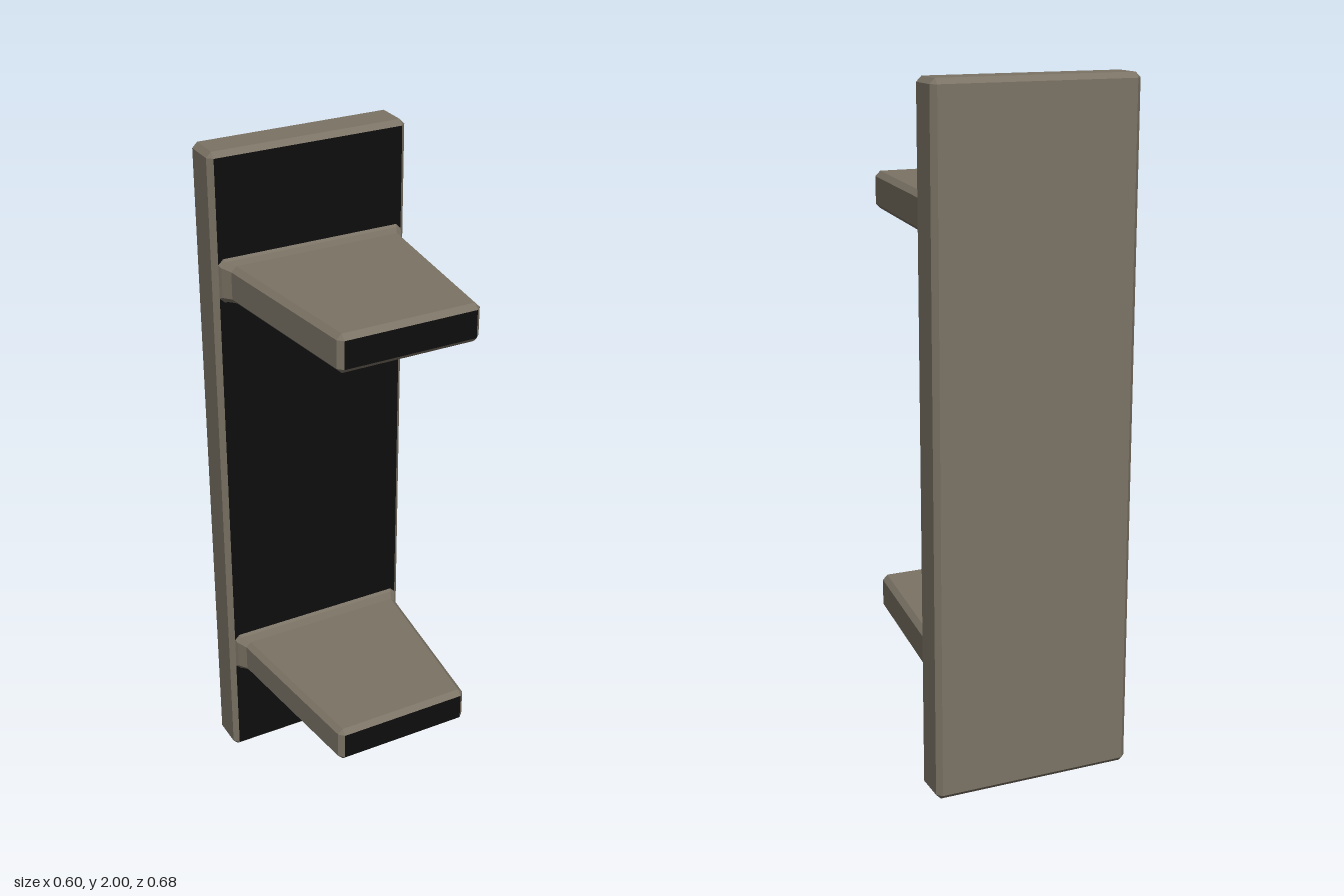
import * as THREE from 'three';

// Chamfered rectangle, counter-clockwise seen from +z
function ring([z, hw, hy, c]) {
  return [
    [-hw + c, -hy], [hw - c, -hy], [hw, -hy + c], [hw, hy - c],
    [hw - c, hy], [-hw + c, hy], [-hw, hy - c], [-hw, -hy + c],
  ].map(([x, y]) => new THREE.Vector3(x, y, z));
}

// Lofts sections [z, halfWidth, halfHeight, chamfer] from back to front;
// group 0 is the body, group 1 the front face
function loft(sections) {
  const rings = sections.map(ring);
  const points = [];
  const tri = (a, b, c) => {
    if (new THREE.Triangle(a, b, c).getArea() > 1e-8) points.push(a, b, c);
  };
  const cap = (r, flip) => {
    for (let i = 1; i < 7; i++) flip ? tri(r[0], r[i + 1], r[i]) : tri(r[0], r[i], r[i + 1]);
  };
  cap(rings[0], true);
  for (let s = 0; s < rings.length - 1; s++) {
    const p = rings[s], q = rings[s + 1];
    for (let i = 0; i < 8; i++) {
      const j = (i + 1) % 8;
      tri(p[i], p[j], q[j]);
      tri(p[i], q[j], q[i]);
    }
  }
  const bodyCount = points.length;
  cap(rings[rings.length - 1], false);
  const geo = new THREE.BufferGeometry().setFromPoints(points);
  geo.addGroup(0, bodyCount, 0);
  geo.addGroup(bodyCount, points.length - bodyCount, 1);
  geo.computeVertexNormals(); // unshared corners give flat faces
  return geo;
}

export function createModel() {
  const group = new THREE.Group();
  const body = new THREE.MeshStandardMaterial({ name: 'warmGrey', color: 0x7b7365 });
  const front = new THREE.MeshStandardMaterial({ name: 'black', color: 0x0d0d0d });

  const add = (name, geo, y) => {
    const mesh = new THREE.Mesh(geo, [body, front]);
    mesh.name = name;
    mesh.position.y = y;
    group.add(mesh);
  };

  // Upright back panel with bevelled edges
  add('backPanel', loft([
    [-0.34, 0.285, 0.985, 0],
    [-0.325, 0.3, 1, 0.015],
    [-0.235, 0.3, 1, 0.015],
    [-0.22, 0.285, 0.985, 0],
  ]), 1);

  // Tapering shelves that flare where they meet the panel
  const shelf = loft([
    [-0.225, 0.287, 0.067, 0.015],
    [-0.21, 0.281, 0.059, 0.015],
    [-0.18, 0.265, 0.055, 0.015],
    [0.325, 0.21, 0.055, 0.015],
    [0.34, 0.195, 0.04, 0],
  ]);
  add('lowerShelf', shelf, 0.375);
  add('upperShelf', shelf, 1.635);

  return group;
}
